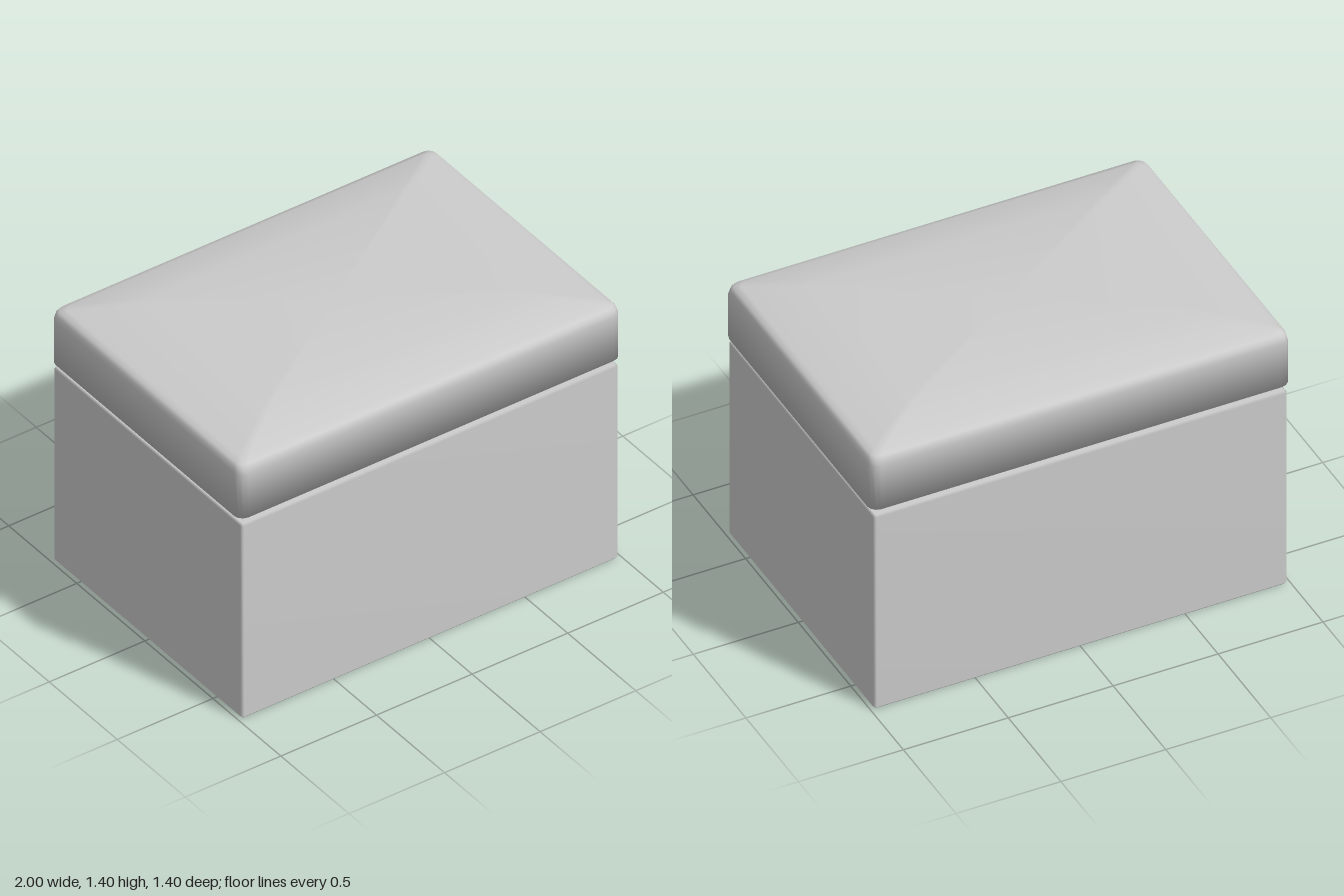
import * as THREE from 'three';

const material = new THREE.MeshStandardMaterial({ color: 0xcccccc });

// Closed loft through rounded rectangles; ring = [half width, half depth, y, corner radius]
function loft(name, rings, segments) {
  const positions = [], index = [];
  const n = 4 * (segments + 1);
  for (const [w, d, y, r] of rings) {
    for (let q = 0; q < 4; q++) {
      const cx = (q === 0 || q === 3 ? 1 : -1) * (w - r);
      const cz = (q < 2 ? -1 : 1) * (d - r);
      for (let s = 0; s <= segments; s++) {
        const a = (q + s / segments) * Math.PI / 2;
        positions.push(cx + r * Math.cos(a), y, cz - r * Math.sin(a));
      }
    }
  }
  const last = (rings.length - 1) * n, bottom = rings.length * n;
  positions.push(0, rings[0][2], 0, 0, rings[rings.length - 1][2], 0);
  for (let i = 0; i < n; i++) {
    const j = (i + 1) % n;
    for (let k = 0; k < last; k += n) {
      index.push(k + i, k + j, k + n + i, k + j, k + n + j, k + n + i);
    }
    index.push(bottom, j, i, bottom + 1, last + i, last + j);
  }
  const geometry = new THREE.BufferGeometry();
  geometry.setAttribute('position', new THREE.Float32BufferAttribute(positions, 3));
  geometry.setIndex(index);
  geometry.computeVertexNormals();
  const mesh = new THREE.Mesh(geometry, material);
  mesh.name = name;
  return mesh;
}

export function createModel() {
  const group = new THREE.Group();
  group.name = 'storageOttoman';

  // Storage box with finely bevelled edges
  group.add(loft('boxBody', [
    [0.975, 0.685, 0, 0.005],
    [0.985, 0.693, 0.01, 0.012],
    [0.985, 0.693, 1.025, 0.012],
    [0.975, 0.685, 1.035, 0.005],
  ], 2));

  // Recessed collar between box and lid
  const collar = new THREE.Mesh(new THREE.BoxGeometry(1.88, 0.06, 1.3), material);
  collar.name = 'collar';
  collar.position.y = 1.05;
  group.add(collar);

  // Padded lid: straight sides, rounded shoulder, gently crowned top
  group.add(loft('cushionLid', [
    [1, 0.7, 1.07, 0.045],
    [1, 0.7, 1.3, 0.045],
    [0.994, 0.695, 1.326, 0.045],
    [0.983, 0.684, 1.342, 0.04],
    [0.955, 0.655, 1.353, 0.03],
    [0.69, 0.455, 1.4, 0.02],
  ], 3));

  return group;
}
